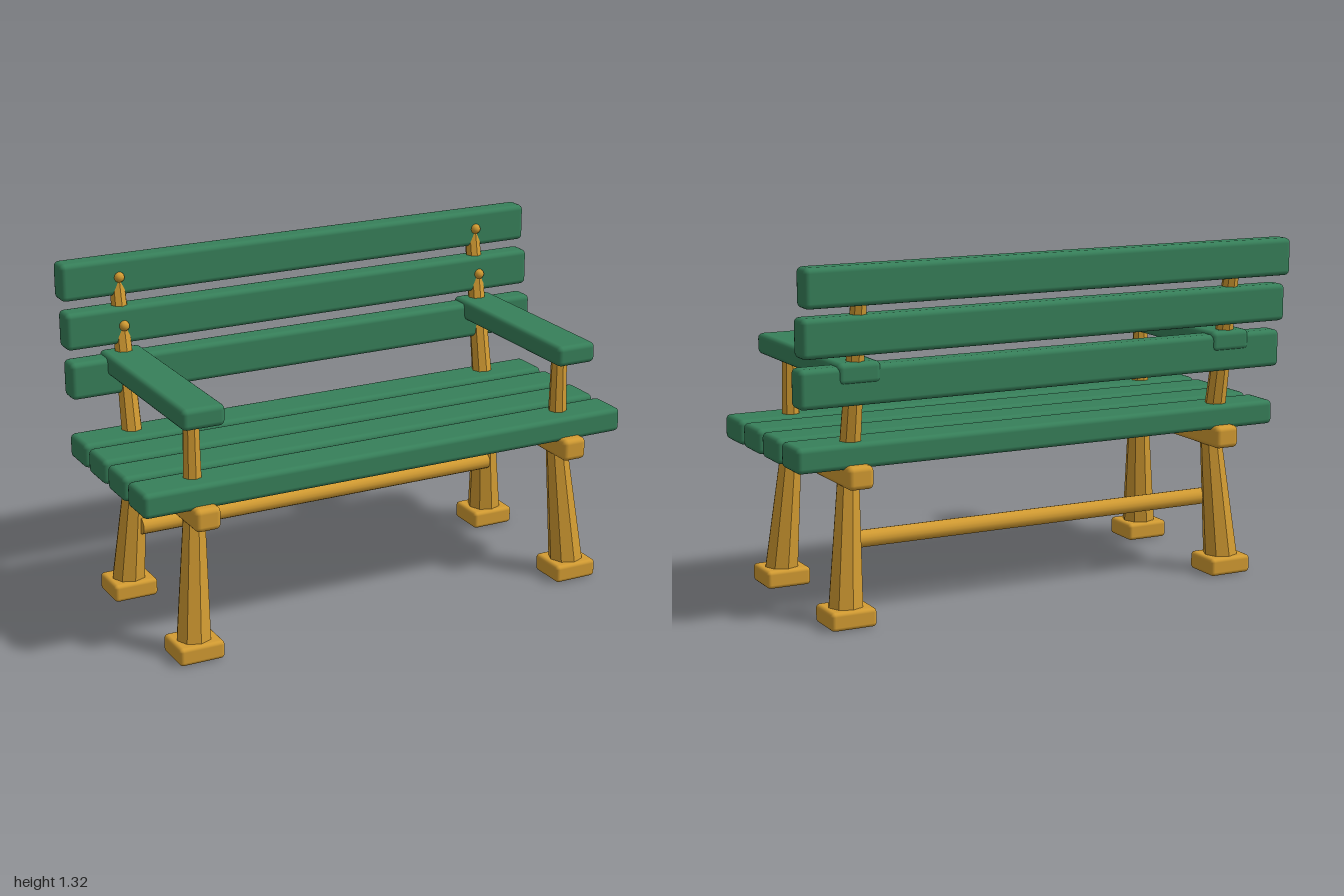
import * as THREE from 'three';
import { RoundedBoxGeometry } from 'three/addons/geometries/RoundedBoxGeometry.js';

const green = new THREE.MeshStandardMaterial({ color: 0x37805a });
const wood = new THREE.MeshStandardMaterial({ color: 0xd39c32 });
const facetedWood = new THREE.MeshStandardMaterial({ color: 0xd39c32, flatShading: true });

export function createModel() {
  const bench = new THREE.Group();
  bench.name = 'bench';

  // Rounded block given by its extents on each axis
  function block(name, material, [x0, x1], [y0, y1], [z0, z1], radius = 0.02) {
    const geometry = new RoundedBoxGeometry(x1 - x0, y1 - y0, z1 - z0, 2, radius);
    const mesh = new THREE.Mesh(geometry, material);
    mesh.name = name;
    mesh.position.set((x0 + x1) / 2, (y0 + y1) / 2, (z0 + z1) / 2);
    bench.add(mesh);
  }

  // Tapered eight-sided post between two points
  function post(name, from, to, r0, r1, material = facetedWood, sides = 8) {
    const a = new THREE.Vector3(...from), b = new THREE.Vector3(...to);
    const dir = b.clone().sub(a);
    const mesh = new THREE.Mesh(new THREE.CylinderGeometry(r1, r0, dir.length(), sides), material);
    mesh.name = name;
    mesh.position.copy(a).add(b).multiplyScalar(0.5);
    mesh.quaternion.setFromUnitVectors(new THREE.Vector3(0, 1, 0), dir.normalize());
    bench.add(mesh);
  }

  // Seat slats
  for (const z of [0.315, 0.125, -0.065, -0.255]) {
    block('seatSlat', green, [-1, 1], [0.58, 0.675], [z - 0.08, z + 0.08]);
  }

  // Back slats, stepping backward as they rise
  for (const [y, z] of [[0.887, -0.325], [1.07, -0.357], [1.25, -0.39]]) {
    block('backSlat', green, [-1, 1], [y - 0.072, y + 0.072], [z - 0.045, z + 0.045]);
  }

  // Rail between the back legs
  post('stretcher', [-0.77, 0.293, -0.218], [0.77, 0.293, -0.218], 0.032, 0.032, wood, 16);

  for (const s of [-1, 1]) {
    const span = (a, b) => (s > 0 ? [a, b] : [-b, -a]);

    // Feet and splayed legs
    for (const [footZ, topZ] of [[0.345, 0.3], [-0.283, -0.247]]) {
      block('foot', wood, span(0.713, 0.89), [0, 0.07], [footZ - 0.081, footZ + 0.081], 0.015);
      post('leg', [s * 0.803, 0.05, footZ], [s * 0.77, 0.54, topZ], 0.068, 0.042);
    }

    // Side frame and armrest
    block('seatBearer', wood, span(0.72, 0.82), [0.51, 0.597], [-0.372, 0.435]);
    block('armrest', green, span(0.69, 0.855), [0.892, 0.972], [-0.375, 0.42]);
    post('armPost', [s * 0.772, 0.57, 0.296], [s * 0.772, 0.92, 0.296], 0.038, 0.03);

    // Leaning back post, with a round bolt head on each upper slat
    post('backPost', [s * 0.772, 0.56, -0.253], [s * 0.772, 1.27, -0.38], 0.043, 0.029);
    for (const [y, z] of [[1.07, -0.31], [1.25, -0.345]]) {
      const bolt = new THREE.Mesh(new THREE.SphereGeometry(0.02, 12, 8), wood);
      bolt.name = 'boltHead';
      bolt.position.set(s * 0.772, y, z);
      bench.add(bolt);
    }
  }
  return bench;
}
